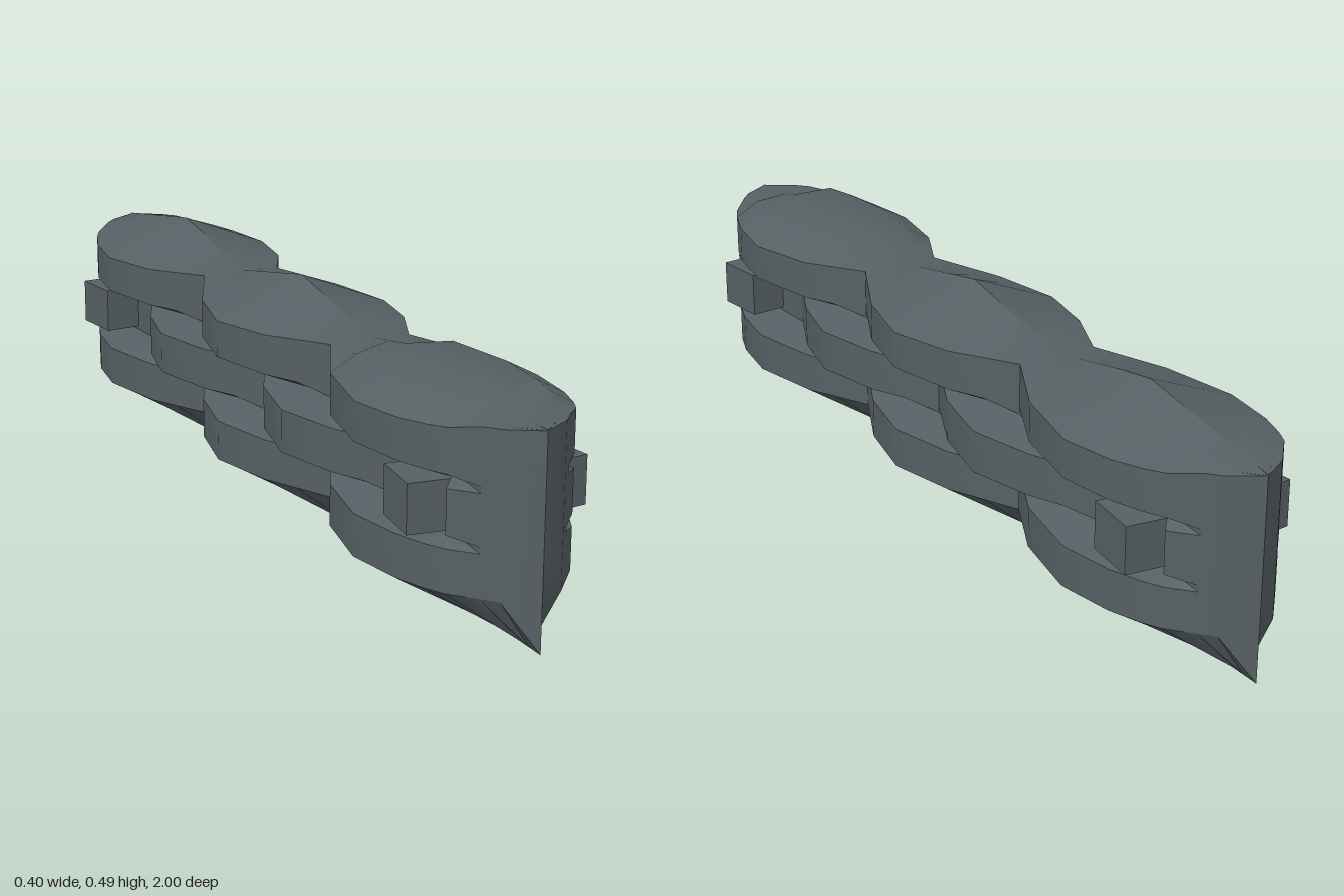
import * as THREE from 'three';
import { toCreasedNormals } from 'three/addons/utils/BufferGeometryUtils.js';

// Piecewise-linear lookup in a list of [position, value] pairs
function lookup(table, t) {
  for (let i = 1; i < table.length; i++) {
    const [a, va] = table[i - 1], [b, vb] = table[i];
    if (t <= b) return va + (vb - va) * Math.max(0, (t - a) / (b - a));
  }
  return table[table.length - 1][1];
}

// Half widths along |z|: outer courses bulge where the middle one is recessed
const outerWidth = [[0, 0.2], [0.16, 0.165], [0.32, 0.09], [0.47, 0.165], [0.64, 0.2],
  [0.8, 0.175], [0.88, 0.135], [0.96, 0.065], [1, 0]];
const middleWidth = [[0, 0.09], [0.16, 0.165], [0.32, 0.2], [0.47, 0.165], [0.64, 0.09],
  [0.84, 0.1], [0.88, 0.135], [0.96, 0.065], [1, 0]];
const ridgeHeight = [[-1, 0.43], [-0.63, 0.49], [-0.32, 0.43], [0, 0.49], [0.32, 0.43],
  [0.5, 0.46], [0.77, 0.46], [0.93, 0.43], [1, 0.43]];

// Closed cross-section: domed top, three courses with notches, V-shaped underside
function section(z) {
  const w = lookup(outerWidth, Math.abs(z));
  const m = lookup(middleWidth, Math.abs(z));
  const notch = Math.min(w, m, 0.1);
  const ridge = lookup(ridgeHeight, z);
  const edge = Math.abs(z) > 0.9 ? 0.428 : 0.425 - 0.015 * Math.max(0, (w - 0.09) / 0.11);
  const shoulder = z > 0.45 && z < 0.85 ? 0.447 : ridge + (edge - ridge) * 0.65;
  const half = [[w * 0.65, shoulder], [w, edge], [w, 0.33], [notch, 0.315], [m, 0.303],
    [m, 0.213], [notch, 0.2], [w, 0.187], [w, 0.1]];
  return [[0, ridge], ...half, [0, 0], ...half.slice().reverse().map(([x, y]) => [-x, y])];
}

function loft(stations) {
  const positions = [], index = [];
  stations.forEach((z) => section(z).forEach(([x, y]) => positions.push(x, y, z)));
  const n = section(0).length;
  for (let s = 0; s < stations.length - 1; s++) {
    for (let i = 0; i < n; i++) {
      const a = s * n + i, b = s * n + (i + 1) % n;
      index.push(a, a + n, b, b, a + n, b + n);
    }
  }
  const geometry = new THREE.BufferGeometry();
  geometry.setAttribute('position', new THREE.Float32BufferAttribute(positions, 3));
  geometry.setIndex(index);
  return toCreasedNormals(geometry, 0.45);
}

export function createModel() {
  const group = new THREE.Group();
  group.name = 'layeredBeam';
  const stone = new THREE.MeshStandardMaterial({ color: 0x566064 });
  stone.name = 'slateGrey';

  // Long scalloped body, denser where the bow curves
  const side = [0.08, 0.16, 0.24, 0.32, 0.4, 0.47, 0.55, 0.64, 0.72, 0.77, 0.84, 0.88, 0.93, 0.96, 1];
  const stations = [...side.map((z) => -z).reverse(), 0, ...side];
  const body = new THREE.Mesh(loft(stations), stone);
  body.name = 'scallopedBody';
  group.add(body);

  // Small blocks set in the recess near each end
  for (const end of [-1, 1]) {
    for (const flank of [-1, 1]) {
      const block = new THREE.Mesh(new THREE.BoxGeometry(0.12, 0.1, 0.12), stone);
      block.position.set(flank * 0.125, 0.258, end * 0.785);
      block.rotation.y = flank * end * 0.12;
      block.name = 'recessBlock';
      group.add(block);
    }
  }
  return group;
}
